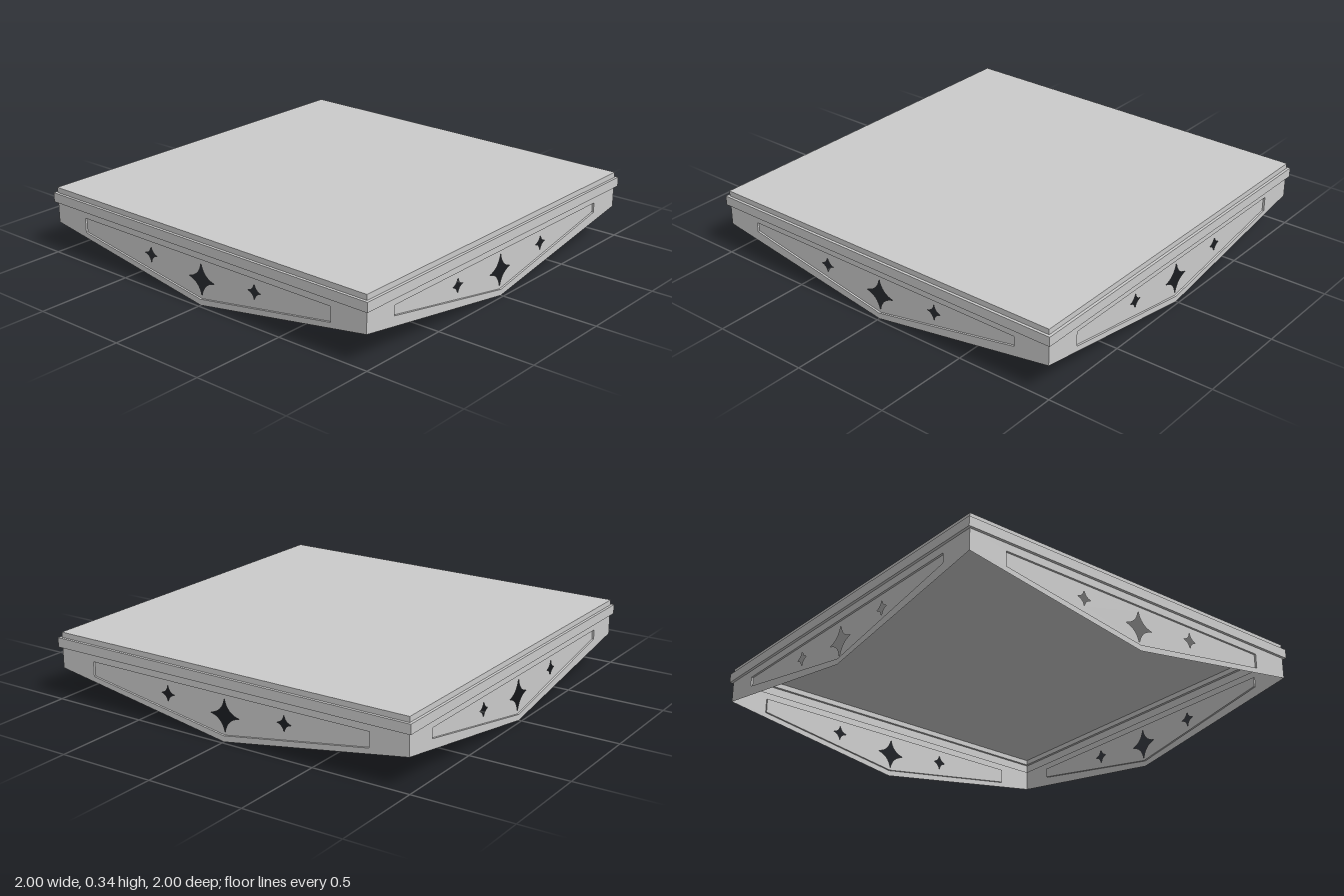
import * as THREE from 'three';

const INSET = 0.986; // distance of the skirt faces from the centre
const DEPTH = 0.01; // how far each panel is sunk into its skirt

const material = new THREE.MeshStandardMaterial({
  color: 0xcccccc, flatShading: true, side: THREE.DoubleSide,
});

function addMesh(parent, name, geometry) {
  const mesh = new THREE.Mesh(geometry, material);
  mesh.name = name;
  parent.add(mesh);
  return mesh;
}

const toPoints = (pairs) => pairs.map(([x, y]) => new THREE.Vector2(x, y));

// Four-pointed star with concave sides
function starHole(cx, cy, r) {
  const path = new THREE.Path();
  const c = r * 0.16;
  path.moveTo(cx + r, cy);
  for (let i = 0; i < 4; i++) {
    const a = (i + 1) * Math.PI / 2;
    const m = a - Math.PI / 4;
    path.quadraticCurveTo(
      cx + c * Math.SQRT2 * Math.cos(m), cy + c * Math.SQRT2 * Math.sin(m),
      cx + r * Math.cos(a), cy + r * Math.sin(a));
  }
  return path;
}

// Narrow wall joining a skirt's opening to its sunken panel
function recessWall(outline) {
  const pos = [], index = [];
  const n = outline.length;
  outline.forEach((p, i) => {
    pos.push(p.x, p.y, 0, p.x, p.y, -DEPTH);
    const a = 2 * i, b = 2 * ((i + 1) % n);
    index.push(a, b, b + 1, a, b + 1, a + 1);
  });
  const geometry = new THREE.BufferGeometry();
  geometry.setAttribute('position', new THREE.Float32BufferAttribute(pos, 3));
  geometry.setIndex(index);
  geometry.computeVertexNormals();
  return geometry;
}

// One hanging skirt, facing +z
function makeSkirt(halfWidth, endY) {
  const skirt = new THREE.Group();
  const outline = toPoints([
    [-halfWidth, 0.23], [-halfWidth, endY], [0, 0.03], [halfWidth, endY], [halfWidth, 0.23],
  ]);

  const face = new THREE.Shape(toPoints([
    [-INSET, 0.268], [-INSET, 0.16], [0, 0], [INSET, 0.16], [INSET, 0.268],
  ]));
  face.holes.push(new THREE.Path(outline));
  addMesh(skirt, 'skirtFace', new THREE.ShapeGeometry(face));

  addMesh(skirt, 'recessWall', recessWall(outline));

  const panel = new THREE.Shape(outline);
  panel.holes.push(starHole(0, 0.125, 0.082));
  for (const s of [-1, 1]) panel.holes.push(starHole(s * 0.333, 0.16, 0.04));
  addMesh(skirt, 'starPanel', new THREE.ShapeGeometry(panel, 8)).position.z = -DEPTH;
  return skirt;
}

export function createModel() {
  const model = new THREE.Group();
  model.name = 'canopy';

  // Square roof sheet and its hollow projecting band
  const profile = toPoints([
    [INSET, 0.268], [1, 0.268], [1, 0.316], [INSET, 0.316], [INSET, 0.343], [0, 0.343],
  ].map(([d, y]) => [d * Math.SQRT2, y]));
  addMesh(model, 'roofAndBand', new THREE.LatheGeometry(profile, 4, Math.PI / 4));

  // Skirts on all four sides
  ['frontSkirt', 'leftSkirt', 'backSkirt', 'rightSkirt'].forEach((name, i) => {
    const skirt = i % 2 ? makeSkirt(0.8, 0.18) : makeSkirt(0.787, 0.155);
    const a = i * Math.PI / 2;
    skirt.name = name;
    skirt.rotation.y = a;
    skirt.position.set(Math.sin(a) * INSET, 0, Math.cos(a) * INSET);
    model.add(skirt);
  });

  return model;
}
